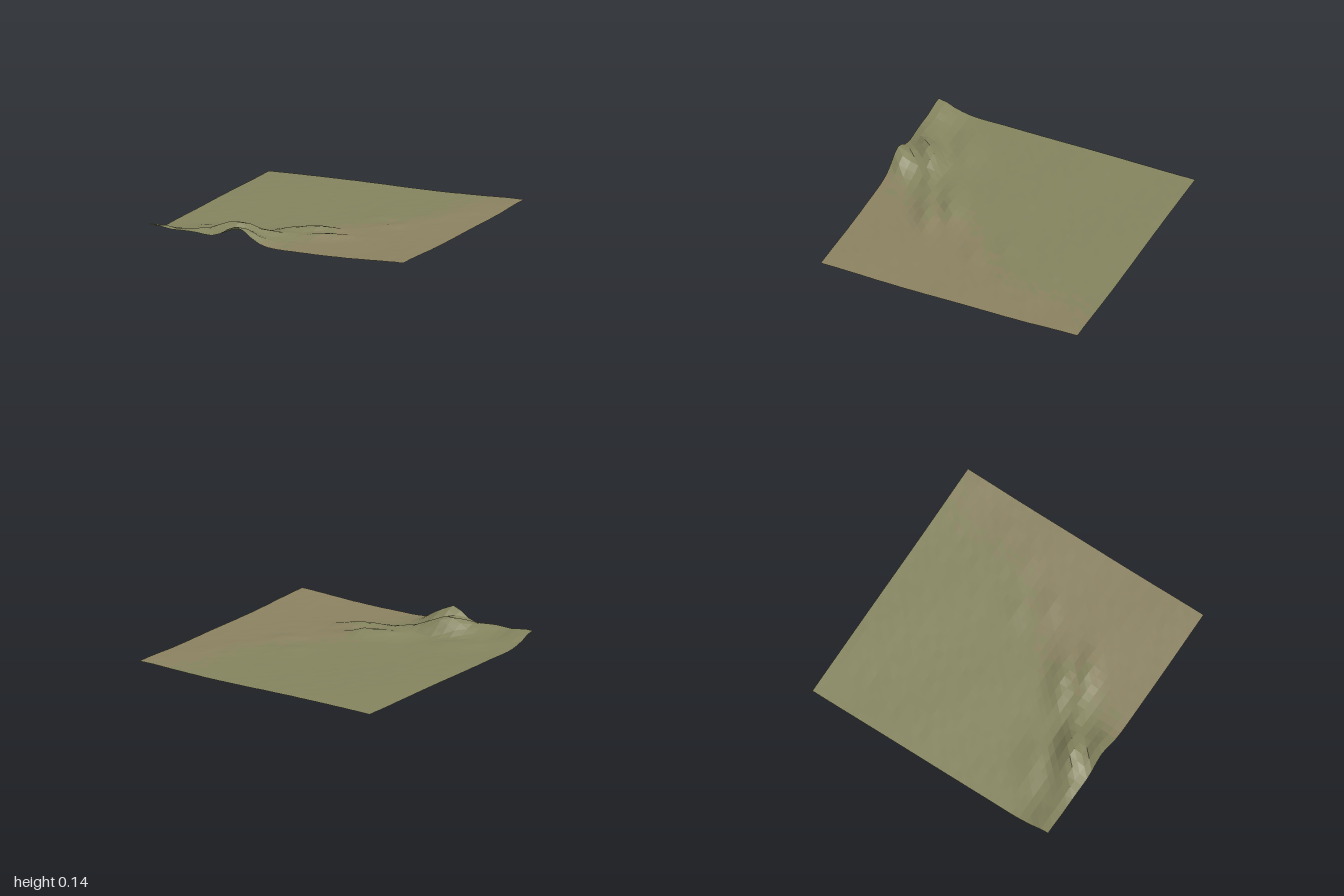
import * as THREE from 'three';

const SEGMENTS = 32;

// Hills: x, z, height, radius along the crest, radius across, crest angle
const HILLS = [
  [-0.30, 1.00, 0.125, 0.15, 0.11, 0.9],  // front peak
  [-0.41, 0.80, 0.105, 0.14, 0.075, 0.5], // peak behind it
  [-0.64, 0.97, 0.060, 0.14, 0.11, 0.4],  // front left shoulder
  [-0.96, 0.99, 0.080, 0.15, 0.12, 0.3],  // left corner
  [-0.62, 0.62, 0.022, 0.16, 0.08, 0.5],
  [-0.12, 0.66, 0.030, 0.16, 0.06, 0.45], // middle ridge
  [0.18, 0.56, 0.036, 0.13, 0.06, 0.5],
  [0.04, 0.43, 0.045, 0.14, 0.065, 0.5],  // inner ridge
  [-0.15, 0.52, 0.018, 0.10, 0.07, 0.5],
  [0.46, 0.06, 0.013, 0.09, 0.06, 0.7],   // low mounds
  [0.28, -0.12, 0.008, 0.10, 0.07, 0.5],
  [0.62, -0.25, 0.007, 0.12, 0.08, 0.5],
  [0.75, -0.50, 0.006, 0.14, 0.08, 0.5],
  [1.00, -0.95, 0.008, 0.25, 0.25, 0],
  [1.00, 1.00, 0.010, 0.25, 0.25, 0],
];

// Repeatable value between -1 and 1 for each grid point
function hash(i, j) {
  const s = Math.sin(i * 127.1 + j * 311.7) * 43758.5453;
  return 2 * (s - Math.floor(s)) - 1;
}

function heightAt(x, z) {
  let y = 0.006 + 0.0018 * Math.sin(5 * x + 3 * z) + 0.0014 * Math.sin(7 * z - 4 * x);
  for (const [cx, cz, h, along, across, angle] of HILLS) {
    const dx = x - cx, dz = z - cz, c = Math.cos(angle), s = Math.sin(angle);
    const u = (dx * c - dz * s) / along;
    let v = (dx * s + dz * c) / across;
    if (v > 0) v *= 1.2; // steeper on the side facing front
    y += h * Math.exp(-(u * u + v * v) / 1.6);
  }
  return y;
}

export function createModel() {
  const group = new THREE.Group();
  group.name = 'terrain';

  // Displaced ground grid
  const grid = new THREE.PlaneGeometry(2, 2, SEGMENTS, SEGMENTS).rotateX(-Math.PI / 2);
  const pos = grid.attributes.position;
  let low = Infinity;
  for (let k = 0; k < pos.count; k++) {
    const y = heightAt(pos.getX(k), pos.getZ(k));
    const rough = hash(k % (SEGMENTS + 1), Math.floor(k / (SEGMENTS + 1)));
    pos.setY(k, y + rough * (0.0006 + 0.05 * Math.min(y, 0.08)));
    low = Math.min(low, pos.getY(k));
  }
  grid.translate(0, -low, 0);

  // Sort the faces into grass, dry soil and steep rock
  const faces = grid.toNonIndexed().attributes.position;
  const parts = { grass: [], drySoil: [], rock: [] };
  const tri = new THREE.Triangle(), mid = new THREE.Vector3(), normal = new THREE.Vector3();
  for (let k = 0; k < faces.count; k += 3) {
    tri.setFromAttributeAndIndices(faces, k, k + 1, k + 2);
    tri.getMidpoint(mid);
    tri.getNormal(normal);
    const dry = mid.x + 0.5 * mid.z + 0.12 * hash(k, 5) + 0.1 * Math.sin(6 * mid.z) - 0.35;
    const kind = normal.y < 0.71 ? 'rock' : dry > 0 && mid.y < 0.03 ? 'drySoil' : 'grass';
    for (const p of [tri.a, tri.b, tri.c]) parts[kind].push(p.x, p.y, p.z);
  }

  const colors = { grass: 0x85845f, drySoil: 0x8b8261, rock: 0x74716c };
  for (const [name, points] of Object.entries(parts)) {
    if (!points.length) continue;
    const geometry = new THREE.BufferGeometry();
    geometry.setAttribute('position', new THREE.Float32BufferAttribute(points, 3));
    geometry.computeVertexNormals();
    const material = new THREE.MeshStandardMaterial({
      color: colors[name], flatShading: true, side: THREE.DoubleSide,
    });
    const mesh = new THREE.Mesh(geometry, material);
    mesh.name = name;
    group.add(mesh);
  }
  return group;
}
